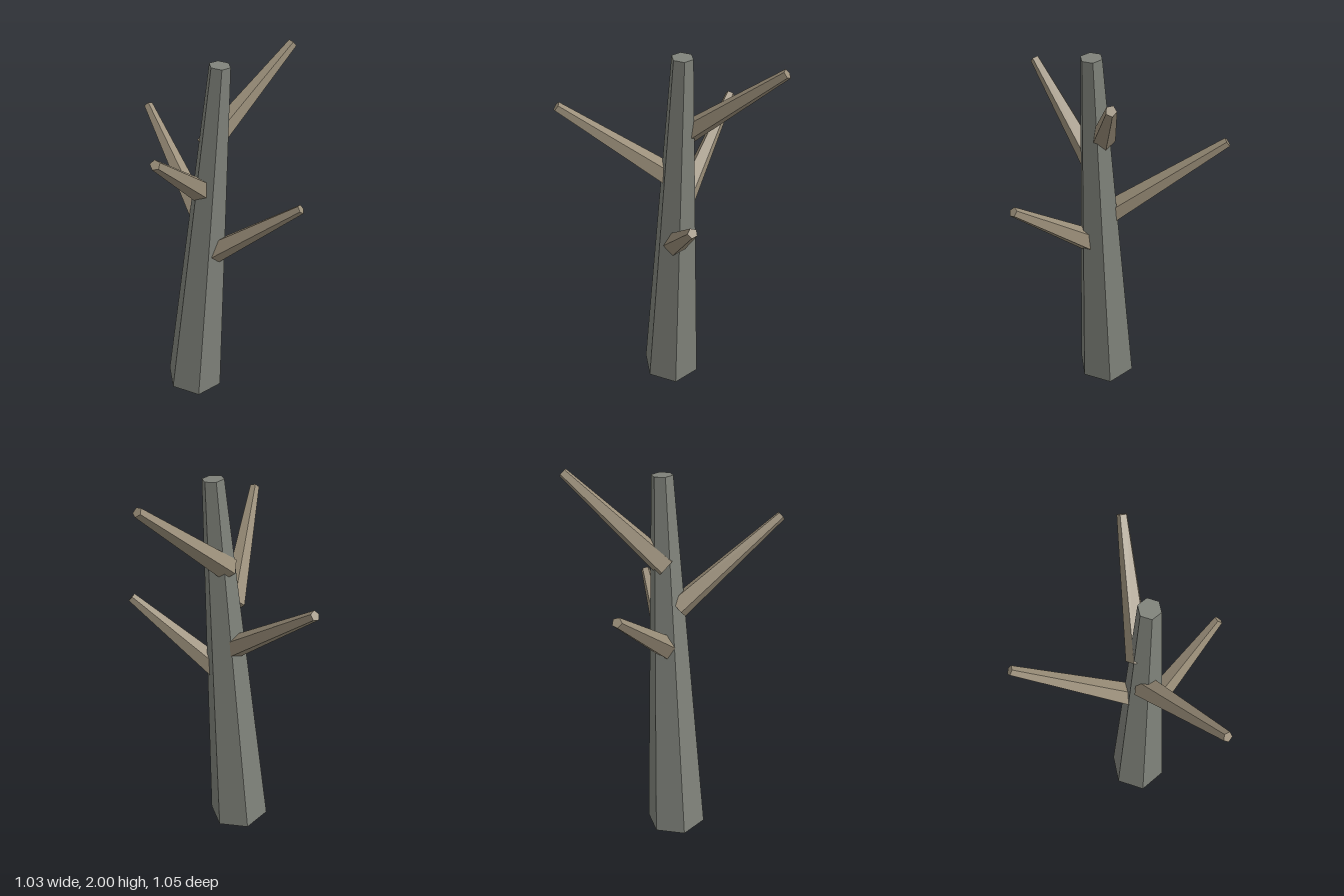
import * as THREE from 'three';

const bark = new THREE.MeshStandardMaterial({ color: 0x7f827a, flatShading: true });
bark.name = 'grey bark';
const wood = new THREE.MeshStandardMaterial({ color: 0x9a8e79, flatShading: true });
wood.name = 'pale wood';

// Tapered, capped limb from one point to another; roll turns it on its own axis.
function limb(name, from, to, r0, r1, sides, roll, material) {
  const a = new THREE.Vector3(...from);
  const b = new THREE.Vector3(...to);
  const dir = b.clone().sub(a);
  const geometry = new THREE.CylinderGeometry(r1, r0, dir.length(), sides, 1);
  geometry.rotateY(THREE.MathUtils.degToRad(roll));

  // local y runs along the limb, local z is its upper side
  dir.normalize();
  const ref = Math.abs(dir.y) > 0.95 ? new THREE.Vector3(0, 0, 1) : new THREE.Vector3(0, 1, 0);
  const x = dir.clone().cross(ref).normalize();
  const z = x.clone().cross(dir);

  const mesh = new THREE.Mesh(geometry, material);
  mesh.name = name;
  mesh.quaternion.setFromRotationMatrix(new THREE.Matrix4().makeBasis(x, dir, z));
  mesh.position.copy(a).add(b).multiplyScalar(0.5);
  return mesh;
}

export function createModel() {
  const tree = new THREE.Group();
  tree.name = 'bareTree';

  // Leaning six-sided trunk
  tree.add(limb('trunk', [-0.077, 0.012, -0.056], [0.053, 1.996, -0.078], 0.162, 0.054, 6, 30, bark));

  // Five-sided branches: name, base, tip, roll
  const branches = [
    ['leftBranch', [0.04, 0.95, -0.05], [0.497, 1.32, -0.053], 22],
    ['rightBranch', [-0.04, 1.11, -0.09], [-0.497, 1.54, -0.448], -15],
    ['frontBranch', [-0.03, 1.33, -0.03], [-0.026, 1.757, 0.512], 18],
    ['backBranch', [-0.015, 1.55, -0.08], [0.279, 1.98, -0.512], -25],
  ];
  for (const [name, base, tip, roll] of branches) {
    tree.add(limb(name, base, tip, 0.062, 0.025, 5, roll, wood));
  }
  return tree;
}
